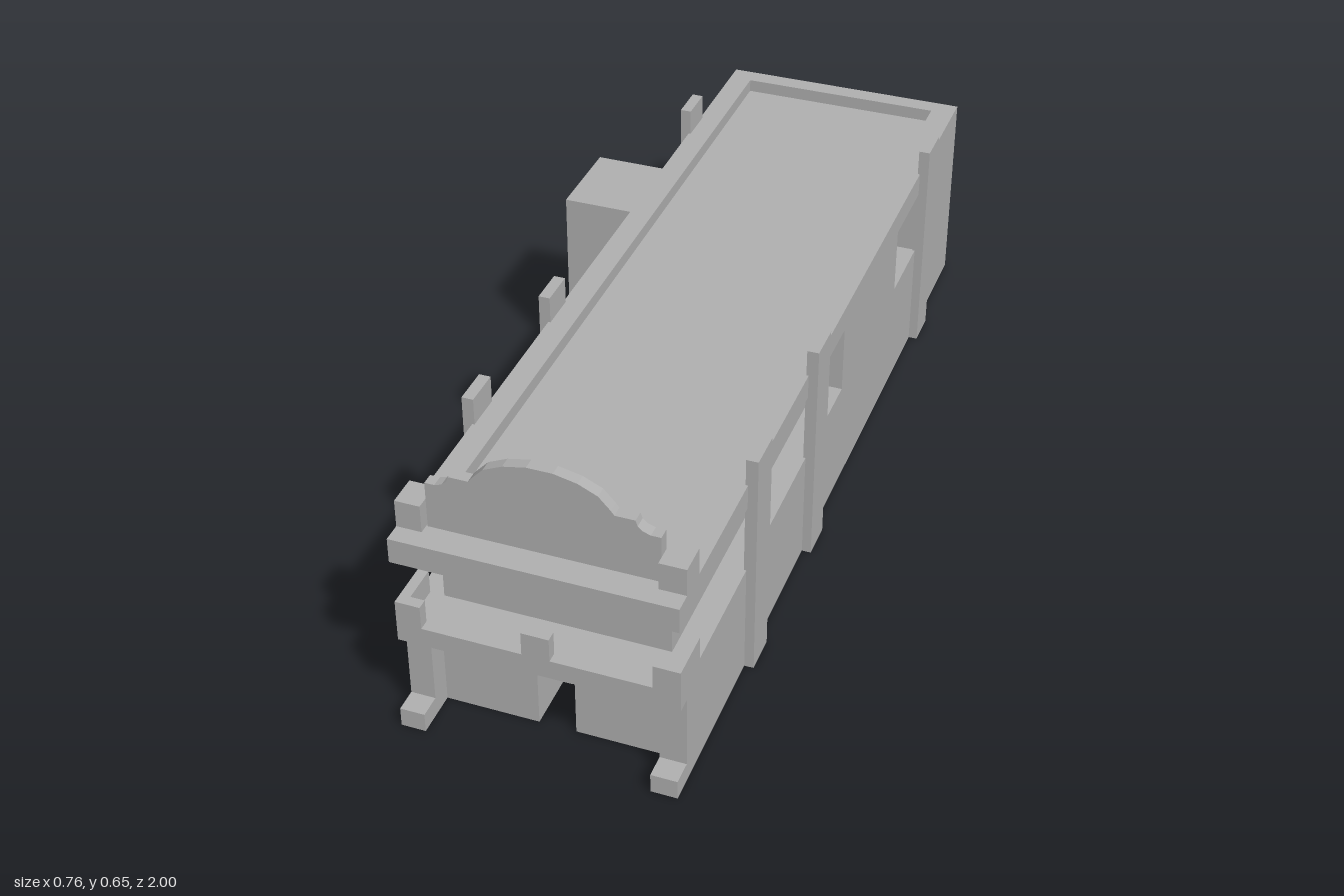
import * as THREE from 'three';

const L = -0.215, R = 0.36;      // outer side walls
const IL = -0.163, IR = 0.305;   // inner faces of recesses and parapet
const SILL = 0.25, LINTEL = 0.405, TOP = 0.46, ROOF = 0.43;

export function createModel() {
  const model = new THREE.Group();
  model.name = 'building';
  const stone = new THREE.MeshStandardMaterial({ color: 0xb0b0b0, side: THREE.DoubleSide });
  stone.name = 'grey stone';

  const add = (name, geometry) => {
    const mesh = new THREE.Mesh(geometry, stone);
    mesh.name = name;
    model.add(mesh);
    return mesh;
  };

  // Box from its limits; faces listed in skip are left open
  const FACES = ['px', 'nx', 'py', 'ny', 'pz', 'nz'];
  const box = (name, x0, x1, y0, y1, z0, z1, skip = []) => {
    const g = new THREE.BoxGeometry(x1 - x0, y1 - y0, z1 - z0);
    g.translate((x0 + x1) / 2, (y0 + y1) / 2, (z0 + z1) / 2);
    const all = Array.from(g.index.array);
    g.setIndex(all.filter((_, i) => !skip.includes(FACES[Math.floor(i / 6)])));
    g.clearGroups();
    return add(name, g);
  };

  const outline = (pts) => new THREE.Shape(pts.map(([a, b]) => new THREE.Vector2(a, b)));
  const rect = (a0, a1, b0, b1) => outline([[a0, b0], [a1, b0], [a1, b1], [a0, b1]]);

  // Hollow shell: side walls with window openings, drawn in (z, y)
  const sideWall = (name, x, bottomCut) => {
    const shape = outline([
      [-1, 0], ...bottomCut, [0.9, 0], [0.9, SILL], [-0.04, SILL],
      [-0.04, LINTEL], [0.9, LINTEL], [0.9, TOP], [-1, TOP],
    ]);
    shape.holes.push(rect(-0.65, -0.465, SILL, LINTEL));
    add(name, new THREE.ShapeGeometry(shape).rotateY(-Math.PI / 2).translate(x, 0, 0));
  };
  sideWall('leftWall', R, []);
  sideWall('rightWall', L, [[-0.46, 0], [-0.46, 0.455], [-0.255, 0.455], [-0.255, 0.168], [-0.05, 0.168], [-0.05, 0]]);
  add('backWall', new THREE.ShapeGeometry(rect(L, R, 0, TOP)).translate(0, 0, -1));

  // Window recesses on both sides
  for (const [z0, z1, end] of [[-0.65, -0.465, []], [-0.04, 0.88, ['pz']]]) {
    box('leftWindowRecess', IR, R, SILL, LINTEL, z0, z1, ['px', ...end]);
    box('rightWindowRecess', L, IL, SILL, LINTEL, z0, z1, ['nx', ...end]);
  }

  // Upper front wall, set back
  add('upperFrontWall', new THREE.ShapeGeometry(rect(IL, IR, SILL, LINTEL)).translate(0, 0, 0.88));

  // Parapet rim and sunken roof
  const rim = rect(L, R, -0.9, 1);
  rim.holes.push(rect(IL, IR, -0.885, 0.957));
  add('parapetTop', new THREE.ShapeGeometry(rim).rotateX(-Math.PI / 2).translate(0, TOP, 0));
  box('sunkenRoof', IL, IR, ROOF, TOP, -0.957, 0.885, ['py']);

  // Lower front wall with a doorway
  const front = outline([
    [L, 0], [0.035, 0], [0.035, 0.132], [0.113, 0.132], [0.113, 0], [R, 0], [R, 0.21], [L, 0.21],
  ]);
  add('lowerFrontWall', new THREE.ShapeGeometry(front).translate(0, 0, 0.9));
  box('doorRecess', 0.035, 0.113, 0, 0.132, 0.76, 0.9, ['pz', 'ny']);

  // Balcony ledge and cornice
  box('balconyLedge', L, R, 0.208, SILL, 0.88, 0.983);
  box('balconyCentrePost', 0.043, 0.1, SILL, 0.302, 0.96, 0.983);
  box('cornice', L, R, LINTEL, TOP, 0.88, 0.99);

  // Corner pieces, mirrored about the facade centre
  for (const [x0, x1, o0, o1] of [[L, IL, L, L + 0.022], [IR, R, R - 0.022, R]]) {
    box('cornerPillar', x0, x1, 0, 0.208, 0.9, 0.95);
    box('cornerFoot', x0, x1, 0, 0.043, 0.95, 1);
    box('balconyCornerFront', x0, x1, SILL, 0.302, 0.96, 0.983);
    box('balconyCornerSide', o0, o1, SILL, 0.302, 0.88, 0.96);
    box('roofCornerPost', x0, x1, TOP, 0.52, 0.885, 0.95);
  }

  // Buttress strips along the sides
  for (const z of [-0.688, 0.182, 0.568]) {
    box('leftButtress', R - 0.005, 0.38, 0, 0.52, z - 0.042, z + 0.042);
    box('rightButtress', -0.235, L + 0.005, 0, 0.52, z - 0.042, z + 0.042);
  }

  // Curved pediment: half profile mirrored about its centre line
  const half = [
    [0.232, TOP], [0.232, 0.562], [0.212, 0.562], [0.197, 0.567], [0.187, 0.576], [0.183, 0.588],
    [0.143, 0.588], [0.136, 0.597], [0.112, 0.623], [0.073, 0.641], [0.026, 0.651],
  ];
  const cx = 0.072;
  const profile = [
    ...half.map(([d, y]) => [cx + d, y]),
    ...half.slice().reverse().map(([d, y]) => [cx - d, y]),
  ];
  add('pediment', new THREE.ExtrudeGeometry(outline(profile), { depth: 0.025, bevelEnabled: false })
    .translate(0, 0, 0.905));

  // Side tower and the low lean-to beside it
  box('sideTower', -0.373, L, 0, TOP, -0.465, -0.255, ['px', 'ny']);
  const leanTo = box('leanTo', -0.373, L, 0, 0.168, -0.255, -0.05, ['px', 'ny', 'nz']);
  const p = leanTo.geometry.attributes.position;
  for (let i = 0; i < p.count; i++) {
    if (p.getY(i) > 0.1 && p.getX(i) < -0.3) p.setY(i, 0.152);
  }
  leanTo.geometry.computeVertexNormals();

  // Cross-shaped plaques over the door and on the tower
  const plaque = () => new THREE.ExtrudeGeometry(outline([
    [-0.039, -0.034], [0.039, -0.034], [0.039, -0.011], [0.078, -0.011], [0.078, 0.011], [0.039, 0.011],
    [0.039, 0.034], [-0.039, 0.034], [-0.039, 0.011], [-0.078, 0.011], [-0.078, -0.011], [-0.039, -0.011],
  ]), { depth: 0.009, bevelEnabled: false });
  add('doorPlaque', plaque().translate(0.072, 0.166, 0.9));
  add('towerPlaque', plaque().rotateY(-Math.PI / 2).translate(-0.373, 0.163, -0.36));

  return model;
}
